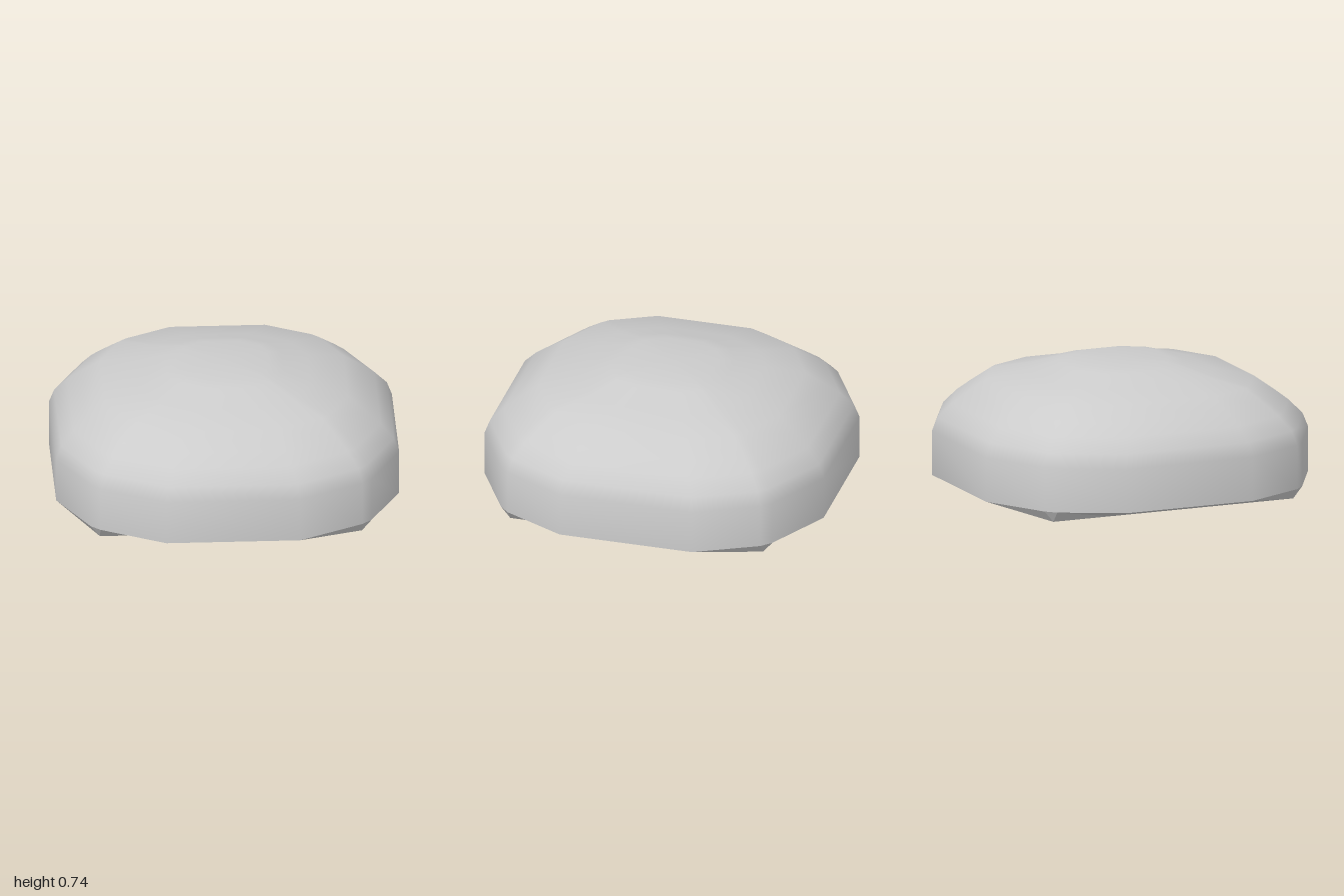
import * as THREE from 'three';
import { toCreasedNormals } from 'three/addons/utils/BufferGeometryUtils.js';

// One quarter of the outline, running from the +x side round to the +z side
const QUARTER = [[0.975, 0.39], [0.8, 0.745], [0.745, 0.8], [0.38, 1]];
const mirrored = (sx, sz) => QUARTER.map(([x, z]) => [x * sx, z * sz]);
const OUTLINE = [
  ...mirrored(1, 1), ...mirrored(-1, 1).reverse(),
  ...mirrored(-1, -1), ...mirrored(1, -1).reverse(),
];

// Outline scaled about the centre at a given height
const ringAt = (scale, y) => OUTLINE.map(([x, z]) => [x * scale, y, z * scale]);

// Joins rings from bottom to top, optionally closing either end with a fan
function loft(rings, capBottom, capTop) {
  const pos = [];
  const tri = (...points) => points.forEach((p) => pos.push(...p));
  const n = OUTLINE.length;
  for (let j = 0; j < n; j++) {
    const k = (j + 1) % n;
    for (let i = 0; i < rings.length - 1; i++) {
      const low = rings[i], high = rings[i + 1];
      if (low[j].some((v, c) => v !== low[k][c])) tri(low[j], high[k], low[k]);
      tri(low[j], high[j], high[k]);
    }
    const first = rings[0], last = rings[rings.length - 1];
    if (capBottom) tri([0, first[0][1], 0], first[j], first[k]);
    if (capTop) tri([0, last[0][1], 0], last[k], last[j]);
  }
  const geometry = new THREE.BufferGeometry();
  geometry.setAttribute('position', new THREE.Float32BufferAttribute(pos, 3));
  geometry.computeVertexNormals();
  return geometry;
}

export function createModel() {
  const group = new THREE.Group();
  group.name = 'domedBlock';

  // Domed shell: upright wall, rounded shoulder, shallow raised crown
  const profile = [
    [1, 0.065], [1, 0.32], [0.97, 0.4], [0.895, 0.48], [0.82, 0.54],
    [0.71, 0.622], [0.5, 0.668], [0.34, 0.72], [0.26, 0.737],
  ];
  const shell = new THREE.Mesh(
    toCreasedNormals(loft(profile.map(([s, y]) => ringAt(s, y)), false, true), 0.7),
    new THREE.MeshStandardMaterial({ color: 0xcccccc }),
  );
  shell.name = 'domedShell';

  // Underside: the outline tapers down to a flat square foot
  const foot = OUTLINE.map(([x, z]) => [
    THREE.MathUtils.clamp(x, -0.745, 0.745), 0, THREE.MathUtils.clamp(z, -0.745, 0.745),
  ]);
  const base = new THREE.Mesh(
    loft([foot, ringAt(1, 0.065)], true, false),
    new THREE.MeshStandardMaterial({ color: 0xcccccc, flatShading: true }),
  );
  base.name = 'taperedBase';

  group.add(shell, base);
  return group;
}
